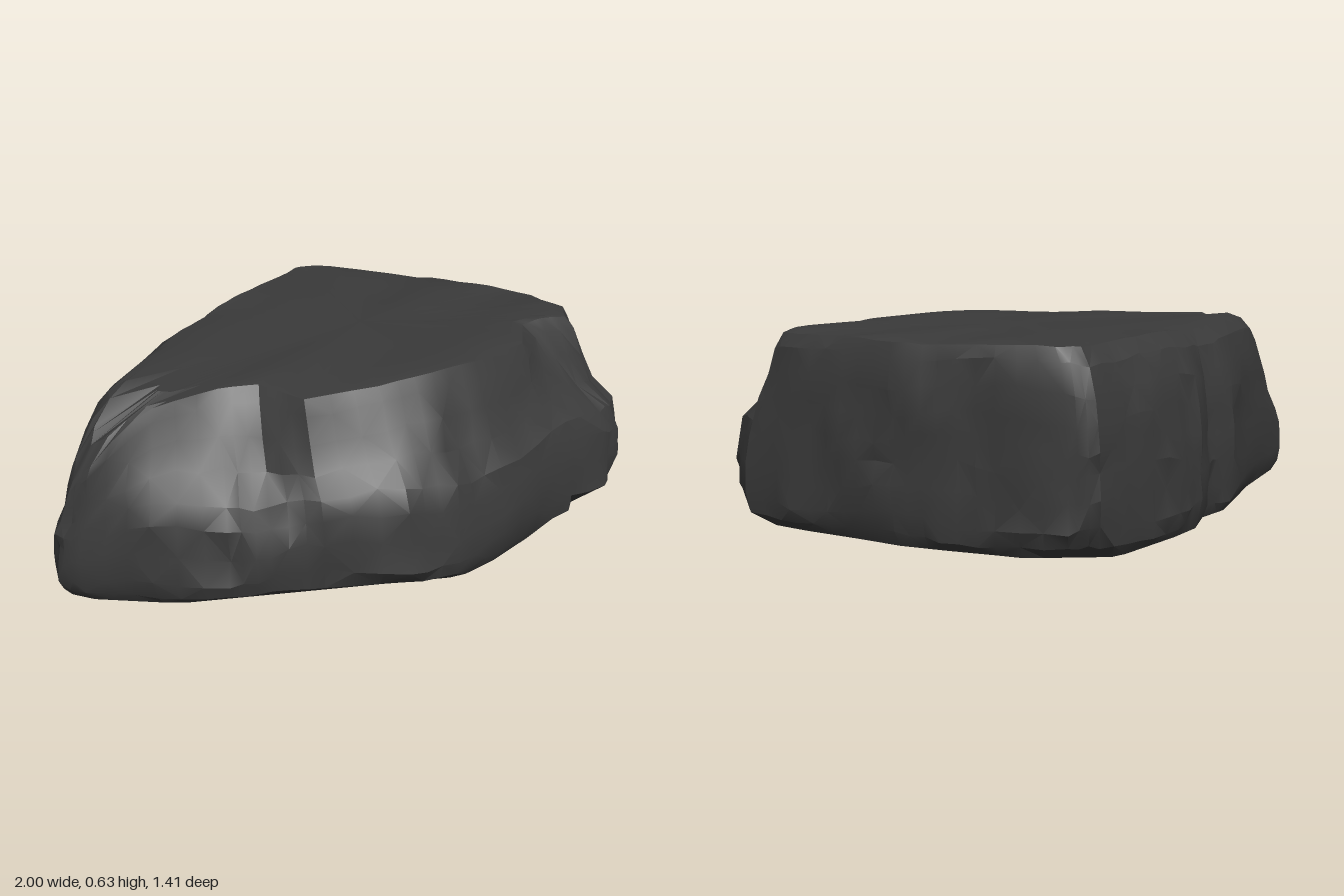
import * as THREE from 'three';
import { toCreasedNormals } from 'three/addons/utils/BufferGeometryUtils.js';

// Stations round the rock: widest outline (x, z), then top rim (x, z)
const STATIONS = [
  [-1, -0.03, -0.95, 0.01], [-0.97, -0.1, -0.91, -0.03], [-0.68, -0.25, -0.65, -0.15],
  [-0.35, -0.46, -0.34, -0.34], [-0.22, -0.49, -0.2, -0.4], [-0.1, -0.58, -0.07, -0.45],
  [0.03, -0.62, 0.07, -0.5], [0.22, -0.66, 0.24, -0.55], [0.41, -0.7, 0.41, -0.61],
  [0.48, -0.64, 0.48, -0.58], [0.6, -0.45, 0.58, -0.43], [0.7, -0.3, 0.68, -0.28],
  [0.78, -0.17, 0.76, -0.15], [0.85, 0, 0.82, 0.02], [0.93, 0.18, 0.87, 0.18],
  [1, 0.37, 0.88, 0.32], [0.95, 0.55, 0.8, 0.4], [0.87, 0.64, 0.71, 0.37],
  [0.76, 0.66, 0.62, 0.36], [0.5, 0.66, 0.5, 0.47], [0.2, 0.7, 0.25, 0.49],
  [0, 0.7, 0.08, 0.47], [-0.17, 0.66, -0.1, 0.42], [-0.38, 0.5, -0.33, 0.34],
  [-0.52, 0.42, -0.38, 0.18], [-0.63, 0.35, -0.49, 0.12], [-0.8, 0.2, -0.71, 0.09],
  [-0.96, 0.04, -0.91, 0.05],
];
// Back and right sides rise more steeply than the front and the tip
const isSteep = (i) => i >= 2 && i < 15;

// Levels: height fraction, front and back blend from rim (0) to outline (1),
// overall scale, roughness
const LEVELS = [
  [0, 1, 1, 0.955, 0], [0.06, 1, 1, 0.985, 0.4], [0.15, 1, 1, 1, 0.7],
  [0.29, 0.96, 0.98, 1, 1], [0.43, 0.91, 0.96, 1, 0.9], [0.54, 0.8, 0.92, 1, 0.9],
  [0.66, 0.52, 0.86, 1, 0.8], [0.8, 0.3, 0.72, 1, 0.7], [0.93, 0.12, 0.42, 1, 0.4],
  [1, 0, 0, 0.99, 0.2],
];
// Undercut corners at the foot: direction (x, z), then reach at the lowest levels
const CORNERS = [
  [0.57, 0.82, [0.77, 0.87, 0.97]],
  [-0.5, 0.866, [0.56, 0.61, 0.65]],
  [0.57, -0.82, [0.71, 0.77, 0.81]],
];
const SUB = 3;
const CENTRE = [0.2, 0];

function seeded(seed) {
  return () => {
    seed = (seed * 1664525 + 1013904223) % 4294967296;
    return seed / 4294967296;
  };
}

// Height of the top face, dropping towards the pointed end
function topHeight(x) {
  const steps = [[-1, 0.38], [-0.95, 0.41], [-0.9, 0.47], [-0.8, 0.56], [-0.71, 0.605], [0.2, 0.62], [1, 0.615]];
  for (let i = 1; i < steps.length; i++) {
    const [x0, y0] = steps[i - 1], [x1, y1] = steps[i];
    if (x <= x1) return y0 + (y1 - y0) * Math.max(0, (x - x0) / (x1 - x0));
  }
  return 0.62;
}

function createRock(material) {
  const random = seeded(71);
  const jitter = (size) => (random() - 0.5) * 2 * size;

  // Stations subdivided along the perimeter, with their steepness
  const stations = STATIONS.map((s, i) => [...s, isSteep(i) ? 1 : 0]);
  const ring = [];
  stations.forEach((a, i) => {
    const b = stations[(i + 1) % stations.length];
    for (let s = 0; s < SUB; s++) ring.push(a.map((v, k) => v + (b[k] - v) * s / SUB));
  });
  const n = ring.length;
  const positions = [], index = [];

  // Side rings, chipped in and out
  LEVELS.forEach(([fraction, front, back, scale, rough], level) => {
    ring.forEach(([ox, oz, rx, rz, steep], i) => {
      const blend = front + (back - front) * steep;
      let x = (rx + (ox - rx) * blend) * scale;
      let z = (rz + (oz - rz) * blend) * scale;
      for (const [dx, dz, reach] of CORNERS) {
        if (level >= reach.length) continue;
        const over = Math.max(0, x * dx + z * dz - reach[level]);
        x -= over * dx;
        z -= over * dz;
      }
      const wave = Math.sin(i * 0.9 + fraction * 9) * Math.sin(i * 0.37 - fraction * 13);
      const chip = 1 + rough * (0.01 * wave - 0.002 + jitter(0.008)) / Math.hypot(x, z);
      const y = fraction * topHeight(rx) + rough * (0.02 * Math.sin(i * 0.55 + fraction * 5) + jitter(0.012));
      positions.push(x * chip, Math.max(0, y), z * chip);
    });
  });

  // Top rings with shallow lengthwise ridges
  for (const size of [0.93, 0.72, 0.4]) {
    for (const [, , rx, rz] of ring) {
      const x = CENTRE[0] + (rx - CENTRE[0]) * size;
      const z = CENTRE[1] + (rz - CENTRE[1]) * size;
      positions.push(x, topHeight(x) + 0.005 + 0.006 * Math.sin(z * 17 + x * 4), z);
    }
  }
  const rings = LEVELS.length + 3;
  const top = positions.length / 3;
  positions.push(CENTRE[0], 0.627, CENTRE[1], CENTRE[0], 0, CENTRE[1]);

  for (let i = 0; i < n; i++) {
    const next = (i + 1) % n;
    for (let j = 0; j < rings - 1; j++) {
      const a = j * n + i, b = j * n + next, c = b + n, d = a + n;
      if ((i + j) % 2) index.push(b, a, d, b, d, c);
      else index.push(b, a, c, a, d, c);
    }
    index.push(top, (rings - 1) * n + next, (rings - 1) * n + i);
    index.push(top + 1, i, next);
  }

  const geometry = new THREE.BufferGeometry();
  geometry.setAttribute('position', new THREE.Float32BufferAttribute(positions, 3));
  geometry.setIndex(index);
  const mesh = new THREE.Mesh(toCreasedNormals(geometry, 0.4), material);
  mesh.name = 'rock';
  return mesh;
}

export function createModel() {
  const stone = new THREE.MeshStandardMaterial({ color: 0x3a3a3a });
  stone.name = 'dark stone';
  const model = new THREE.Group();
  model.name = 'boulder';
  model.add(createRock(stone));
  return model;
}
